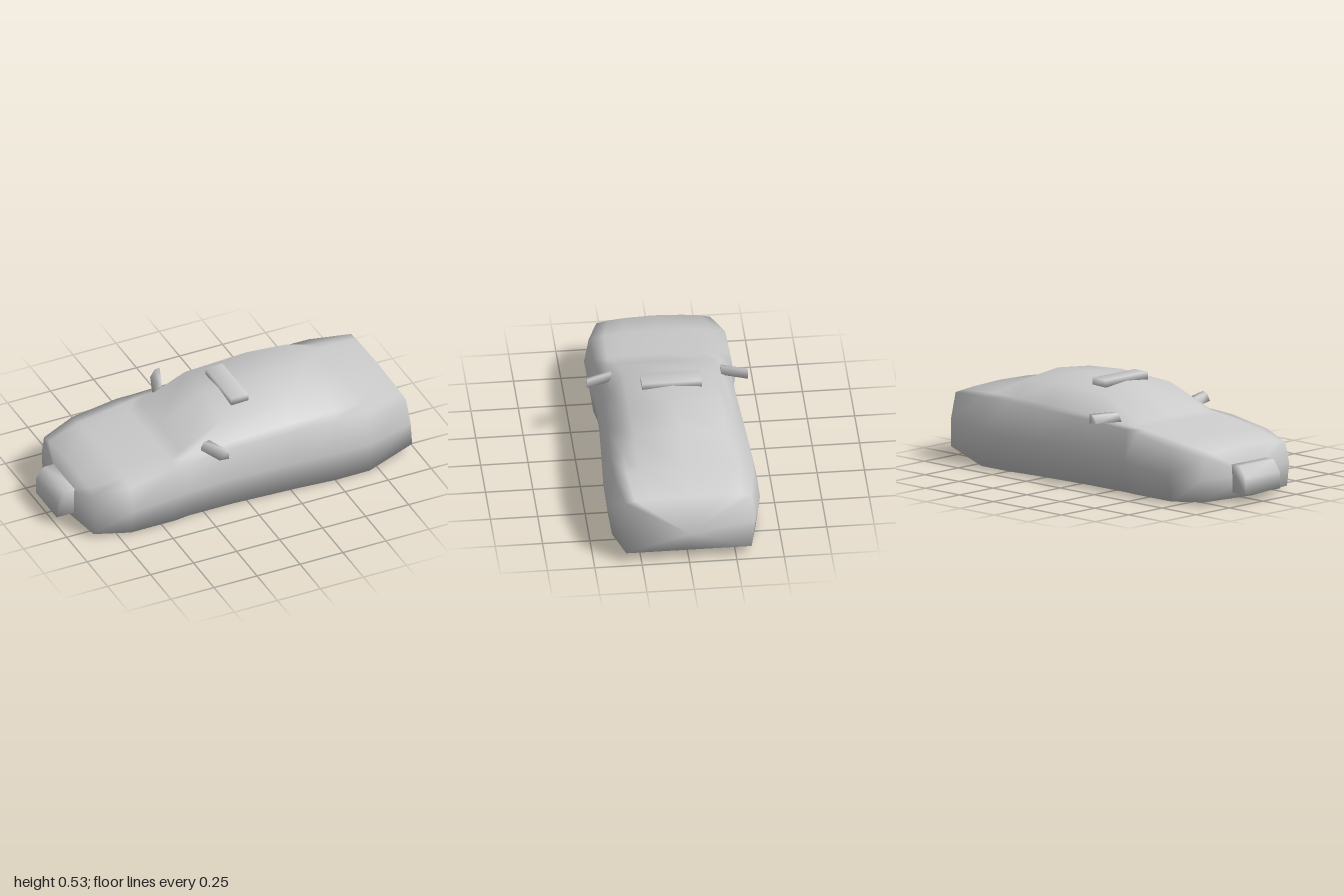
import * as THREE from 'three';
import { mergeVertices } from 'three/addons/utils/BufferGeometryUtils.js';

const material = new THREE.MeshStandardMaterial({ color: 0xcccccc });

// Shares corners between faces so the shading is soft across edges
function soften(geometry) {
  geometry.deleteAttribute('normal');
  geometry.deleteAttribute('uv');
  const merged = mergeVertices(geometry, 1e-4);
  merged.computeVertexNormals();
  return merged;
}

function addPart(group, name, geometry) {
  const mesh = new THREE.Mesh(geometry, material);
  mesh.name = name;
  group.add(mesh);
  return mesh;
}

// Side outline in x, y drawn out along z, centred on z = 0
function sideExtrude(points, width) {
  const shape = new THREE.Shape(points.map(([x, y]) => new THREE.Vector2(x, y)));
  const geometry = new THREE.ExtrudeGeometry(shape, { depth: width, bevelEnabled: false });
  return geometry.translate(0, 0, -width / 2);
}

// Cross-sections from nose to tail:
// x, half width, floor y, shoulder [z, y], window base [z, y], roof edge [z, y], crown y, lean of the bottom in x
const sections = [
  [-0.87, 0.33, 0.02, [0.30, 0.255], [0.24, 0.268], [0.15, 0.278], 0.285, -0.05],
  [-0.68, 0.385, 0.005, [0.36, 0.29], [0.28, 0.305], [0.20, 0.315], 0.32, 0],
  [-0.42, 0.385, 0.005, [0.36, 0.33], [0.29, 0.34], [0.20, 0.35], 0.355, 0],
  [-0.34, 0.37, 0.003, [0.35, 0.338], [0.30, 0.346], [0.25, 0.356], 0.364, 0],
  [-0.08, 0.37, 0.003, [0.345, 0.35], [0.305, 0.366], [0.24, 0.475], 0.5, 0],
  [0.28, 0.39, 0.003, [0.36, 0.365], [0.305, 0.38], [0.245, 0.49], 0.513, 0],
  [0.51, 0.405, 0, [0.37, 0.37], [0.305, 0.38], [0.24, 0.475], 0.5, 0],
  [0.70, 0.403, 0, [0.368, 0.37], [0.30, 0.38], [0.24, 0.393], 0.405, 0],
  [0.93, 0.352, 0.06, [0.335, 0.356], [0.28, 0.362], [0.20, 0.368], 0.375, 0.04],
];

function bodyGeometry() {
  const positions = [];
  const index = [];
  let ring = 0;
  for (const [x, w, floor, shoulder, base, roof, crown, lean] of sections) {
    const half = [[w * 0.94, floor], [w, (floor + shoulder[1]) / 2], shoulder, base, roof];
    const mirrored = half.map(([z, y]) => [-z, y]).reverse();
    const loop = [[0, floor], ...half, [0, crown], ...mirrored];
    ring = loop.length;
    for (const [z, y] of loop) {
      const drop = (crown - y) / (crown - floor);
      const inward = lean < 0 ? 1 - Math.abs(z) / w : 1;
      positions.push(x + lean * drop * inward, y, z);
    }
  }
  const rows = sections.length;
  for (let i = 0; i < rows - 1; i++) {
    for (let j = 0; j < ring; j++) {
      const a = i * ring + j;
      const b = i * ring + (j + 1) % ring;
      index.push(a, a + ring, b + ring, a, b + ring, b);
    }
  }
  // Domed nose and tail
  const nose = rows * ring;
  positions.push(-0.92, 0.13, 0, 1, 0.18, 0);
  for (let j = 0; j < ring; j++) {
    const k = (j + 1) % ring;
    const last = (rows - 1) * ring;
    index.push(nose, j, k, nose + 1, last + k, last + j);
  }
  const geometry = new THREE.BufferGeometry();
  geometry.setAttribute('position', new THREE.Float32BufferAttribute(positions, 3));
  geometry.setIndex(index);
  geometry.computeVertexNormals();
  return geometry;
}

// Wedge-fronted mirror housing, swept back towards its outer end
function mirrorGeometry(side) {
  const outline = [[-0.03, 0.36], [0.025, 0.355], [0.025, 0.405], [-0.005, 0.4]];
  const geometry = sideExtrude(outline, 0.135);
  const p = geometry.attributes.position;
  for (let i = 0; i < p.count; i++) {
    p.setX(i, p.getX(i) - 0.19 + side * p.getZ(i) * 0.38);
    p.setZ(i, p.getZ(i) + side * 0.357);
  }
  return soften(geometry);
}

export function createModel() {
  const car = new THREE.Group();
  car.name = 'car';

  addPart(car, 'body', bodyGeometry());

  // Block on the nose
  const grille = [[-1, 0.05], [-0.88, 0.05], [-0.88, 0.2], [-0.955, 0.2], [-1, 0.14]];
  addPart(car, 'frontGrille', soften(sideExtrude(grille, 0.255)));

  // Bar across the roof
  const bar = soften(new THREE.BoxGeometry(0.1, 0.04, 0.315));
  addPart(car, 'roofSign', bar).position.set(0.05, 0.507, 0);

  // Door mirrors
  addPart(car, 'mirrorPositiveZ', mirrorGeometry(1));
  addPart(car, 'mirrorNegativeZ', mirrorGeometry(-1));

  return car;
}
